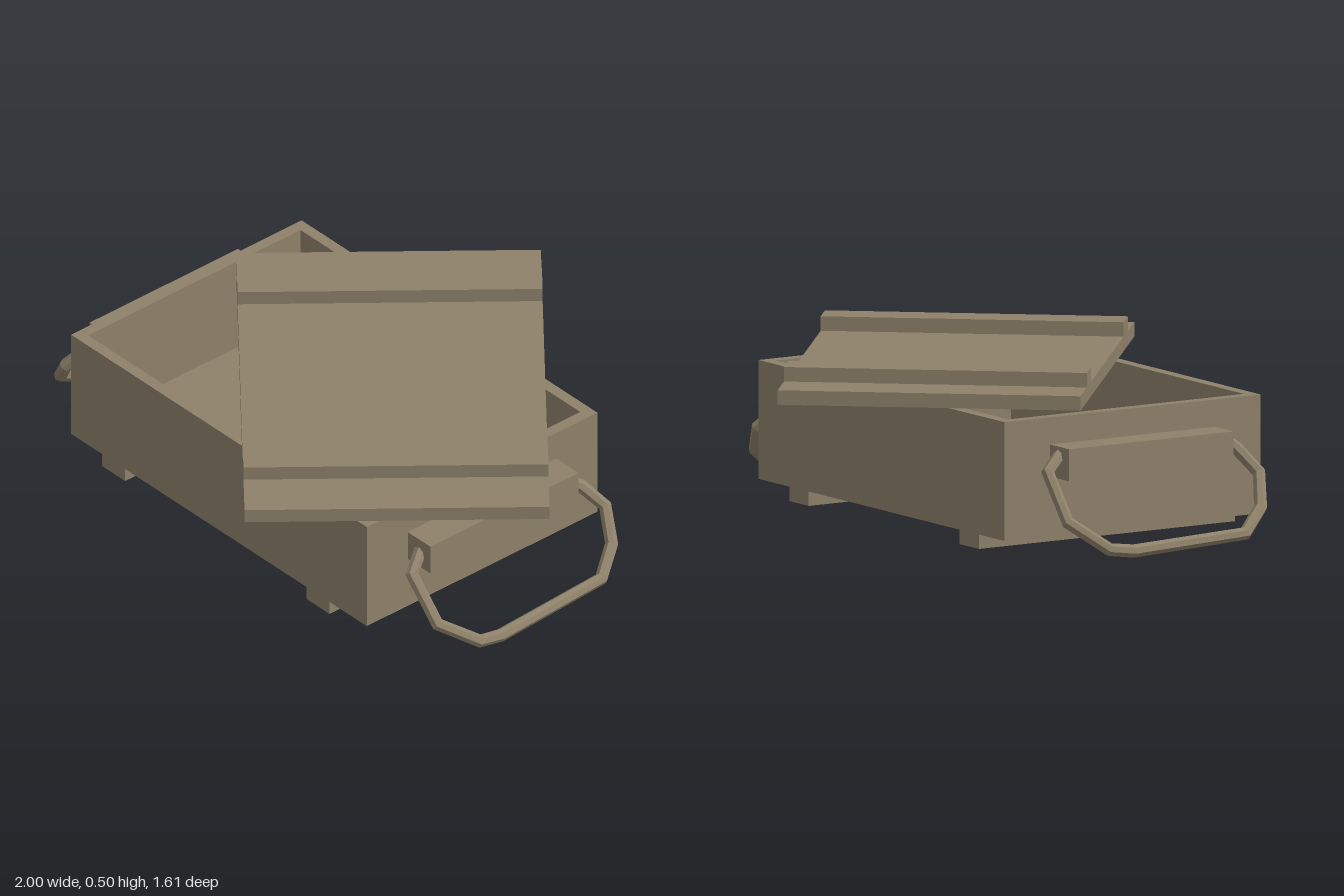
import * as THREE from 'three';

// Straight-segment path with mitred joints
class BentPath extends THREE.Curve {
  constructor(points) {
    super();
    this.points = points;
  }
  getPointAt(t) {
    const n = this.points.length - 1;
    const i = Math.min(Math.floor(t * n + 1e-6), n - 1);
    return this.points[i].clone().lerp(this.points[i + 1], t * n - i);
  }
  getTangentAt(t) {
    const p = this.points, n = p.length - 1, i = Math.round(t * n);
    const dir = new THREE.Vector3();
    if (i > 0) dir.add(p[i].clone().sub(p[i - 1]).normalize());
    if (i < n) dir.add(p[i + 1].clone().sub(p[i]).normalize());
    return dir.normalize();
  }
}

export function createModel() {
  const model = new THREE.Group();
  model.name = 'crate';
  const wood = new THREE.MeshStandardMaterial({ color: 0x8e816a, flatShading: true });
  wood.name = 'drab wood';

  const add = (parent, name, geometry, x, y, z) => {
    const mesh = new THREE.Mesh(geometry, wood);
    mesh.name = name;
    mesh.position.set(x, y, z);
    parent.add(mesh);
    return mesh;
  };
  const box = (parent, name, w, h, d, x, y, z) =>
    add(parent, name, new THREE.BoxGeometry(w, h, d), x, y, z);

  const CX = -0.03, CZ = 0.07, W = 1.38, D = 0.94, T = 0.037;

  // Open box: four walls as one extruded ring, plus the floor
  const rect = (path, w, d) => {
    path.moveTo(-w / 2, -d / 2);
    path.lineTo(w / 2, -d / 2);
    path.lineTo(w / 2, d / 2);
    path.lineTo(-w / 2, d / 2);
    path.closePath();
    return path;
  };
  const ring = rect(new THREE.Shape(), W, D);
  ring.holes.push(rect(new THREE.Path(), W - 2 * T, D - 2 * T));
  const walls = new THREE.ExtrudeGeometry(ring, { depth: 0.37, bevelEnabled: false });
  walls.rotateX(-Math.PI / 2);
  add(model, 'walls', walls, CX, 0.045, CZ);
  box(model, 'floor', W - 2 * T, 0.05, D - 2 * T, CX, 0.07, CZ);

  // Runners under the box
  for (const s of [-1, 1]) box(model, 'runner', 0.108, 0.045, D, CX - 0.015 + s * 0.477, 0.0225, CZ);

  // Lid lying skewed across the top, with two battens
  const lid = new THREE.Group();
  lid.name = 'lid';
  lid.position.set(0.163, 0.415, 0);
  lid.rotation.y = -0.699;
  box(lid, 'lidBoard', 1.39, 0.045, 0.937, 0, 0.0225, 0);
  for (const s of [-1, 1]) box(lid, 'lidBatten', 0.112, 0.045, 0.937, s * 0.474, 0.0675, 0);
  model.add(lid);

  // Handle loop as [along the side, distance out from the pivot]
  const loop = [
    [-0.25, 0], [-0.30, 0], [-0.335, 0.035], [-0.382, 0.125], [-0.34, 0.24], [-0.25, 0.32],
    [0.17, 0.338], [0.25, 0.325], [0.36, 0.222], [0.362, 0.05], [0.30, 0], [0.25, 0],
  ];
  const addSide = (name, x, blockY, pivotX, pivotY, tilt, reach, turn) => {
    const side = new THREE.Group();
    side.name = name;
    side.position.set(x, 0, CZ);
    side.rotation.y = turn;
    box(side, 'handleBlock', 0.108, 0.1, 0.605, 0.051, blockY, 0);
    const pts = loop.map(([z, d]) => new THREE.Vector3(
      pivotX + d * reach * Math.cos(tilt), pivotY - d * reach * Math.sin(tilt), z));
    const tube = new THREE.TubeGeometry(new BentPath(pts), pts.length - 1, 0.021, 7, false);
    add(side, 'handle', tube, 0, 0, 0);
    model.add(side);
  };
  addSide('leftHandle', 0.66, 0.27, 0.052, 0.27, 0.82, 1, 0);
  addSide('rightHandle', -0.72, 0.28, 0.045, 0.30, 0.91, 1.04, Math.PI);

  return model;
}
